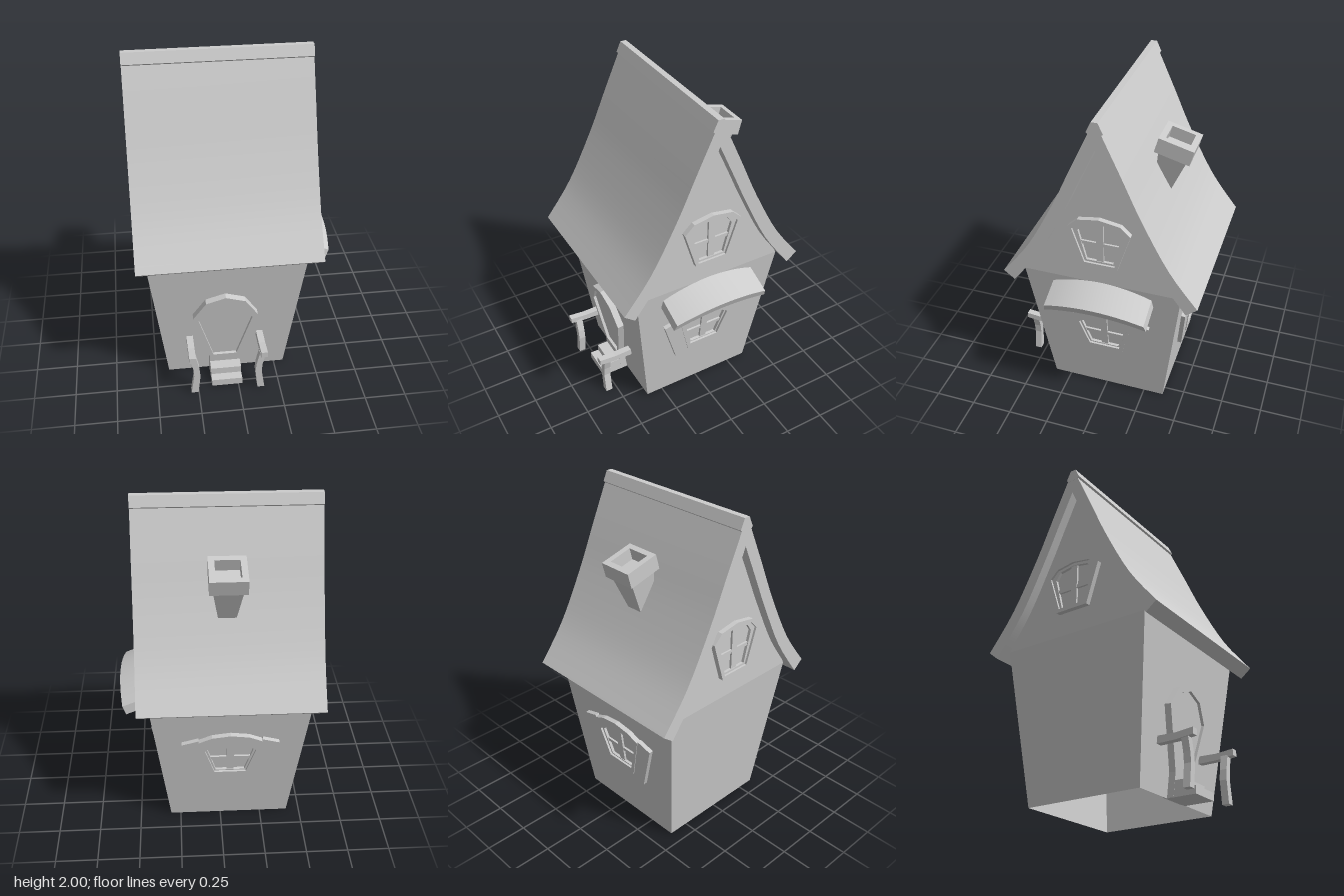
import * as THREE from 'three';
import { toCreasedNormals } from 'three/addons/utils/BufferGeometryUtils.js';

const flat = new THREE.MeshStandardMaterial({ color: 0xcccccc, flatShading: true });
const smooth = new THREE.MeshStandardMaterial({ color: 0xcccccc });
const thin = new THREE.MeshStandardMaterial({ color: 0xcccccc, flatShading: true, side: THREE.DoubleSide });

const BASE = 0.365, TOP = 0.476, EAVE = 0.92;   // half widths of the flared walls
const TILT = Math.atan((TOP - BASE) / EAVE);

function add(parent, name, geometry, material = flat) {
  const mesh = new THREE.Mesh(geometry, material);
  mesh.name = name;
  parent.add(mesh);
  return mesh;
}

function group(parent, name) {
  const g = new THREE.Group();
  g.name = name;
  parent.add(g);
  return g;
}

const shapeOf = pts => new THREE.Shape(pts.map(p => new THREE.Vector2(p[0], p[1])));

// Symmetrical outline from its right half, listed bottom to top
const mirrored = half => [...half, ...half.filter(p => p[0] !== 0).reverse().map(([x, y]) => [-x, y])];

// Extrude an outline from z0 to z1, with an optional hole
function slab(pts, z0, z1, hole) {
  const shape = shapeOf(pts);
  if (hole) shape.holes.push(shapeOf(hole));
  return new THREE.ExtrudeGeometry(shape, { depth: z1 - z0, bevelEnabled: false }).translate(0, 0, z0);
}

// Extrude a side profile across x; profile x becomes -z
const across = (pts, x0, x1) => slab(pts, x0, x1).rotateY(Math.PI / 2);

const box = (w, h, d, x, y, z) => new THREE.BoxGeometry(w, h, d).translate(x, y, z);

const curve = (pts, n) => new THREE.SplineCurve(pts.map(p => new THREE.Vector2(...p)))
  .getPoints(n).map(p => [p.x, p.y]);

// Local frame lying on one wall: x along it, y up its slope, z out of it
function wallFrame(parent, name, yaw, distance, tilt) {
  const g = group(parent, name);
  g.rotation.set(tilt, yaw, 0, 'YXZ');
  g.position.set(Math.sin(yaw) * distance, 0, Math.cos(yaw) * distance);
  return g;
}

function glazing(g, inner, sash, bar, bottom, top, halfWidth) {
  add(g, 'sash', slab(mirrored(inner), -0.01, 0.017, mirrored(sash)));
  add(g, 'verticalBar', box(0.042, top - bottom, 0.022, 0, (top + bottom) / 2, 0.002));
  add(g, 'crossBar', box(halfWidth * 2, 0.022, 0.02, 0, bar, 0.002));
}

function shutteredWindow(parent, name, yaw) {
  const g = wallFrame(parent, name, yaw, BASE, TILT);
  const inner = [[0.095, 0.4], [0.152, 0.58], [0.088, 0.642], [0, 0.662]];
  const sash = [[0.087, 0.407], [0.138, 0.577], [0.082, 0.63], [0, 0.65]];
  add(g, 'frame', slab(mirrored([[0.11, 0.36], [0.188, 0.65], [0.11, 0.685], [0, 0.7]]), -0.01, 0.03, mirrored(inner)));
  glazing(g, inner, sash, 0.502, 0.402, 0.655, 0.118);
  for (const s of [-1, 1]) {
    const pts = [[0.112, 0.363], [0.192, 0.322], [0.288, 0.633], [0.19, 0.662]].map(([x, y]) => [s * x, y]);
    add(g, 'shutter', slab(pts, -0.01, 0.026));
  }
}

function atticWindow(parent, yaw) {
  const g = wallFrame(parent, 'atticWindow', yaw, TOP, 0);
  const inner = [[0.09, 1.08], [0.16, 1.297], [0.113, 1.345], [0, 1.363]];
  const sash = [[0.08, 1.092], [0.128, 1.285], [0.098, 1.33], [0, 1.348]];
  add(g, 'frame', slab(mirrored([[0.106, 1.06], [0.183, 1.31], [0.125, 1.365], [0, 1.386]]), -0.01, 0.03, mirrored(inner)));
  glazing(g, inner, sash, 1.205, 1.085, 1.352, 0.122);
}

function buildRoof(house) {
  const outer = curve([[0.585, 0.923], [0.415, 1.15], [0.255, 1.45], [0.14, 1.705], [0.012, 1.985]], 16);
  const inner = curve([[0.52, 0.87], [0.34, 1.125], [0.188, 1.426], [0.1, 1.62], [0, 1.84]], 16);
  const left = pts => pts.map(([x, y]) => [-x, y]);
  const profile = [...outer, ...left(outer).reverse(), ...left(inner), ...inner.slice(0, -1).reverse()];
  add(house, 'roof', toCreasedNormals(across(profile, -0.532, 0.538), 0.4), smooth);
  add(house, 'ridgeCap', across(mirrored([[0.03, 1.925], [0.046, 1.94], [0.018, 2]]), -0.533, 0.539));
}

function buildChimney(house) {
  const g = group(house, 'chimney');
  g.position.set(0.014, 1.652, -0.31);
  g.rotation.x = -0.262;
  const square = r => [[-r, -r], [r, -r], [r, r], [-r, r]];
  add(g, 'chimneyCap', slab(square(0.106), -0.047, 0.047, square(0.071)).rotateX(-Math.PI / 2));
  add(g, 'chimneyFlue', box(0.15, 0.02, 0.15, 0, -0.036, 0));
  const stem = new THREE.CylinderGeometry(0.086 * Math.SQRT2, 0.042 * Math.SQRT2, 0.3, 4);
  add(g, 'chimneyStem', stem.rotateY(Math.PI / 4).translate(0, -0.19, 0));
}

function buildAwning(house) {
  // Arched plate, sloping down away from the wall
  const arc = (half, low, rise) => Array.from({ length: 13 }, (_, i) => {
    const t = 1 - i / 6;
    return [half * t, low + rise * (1 - t * t)];
  });
  const profile = [...arc(0.302, 0.054, 0.058), ...arc(0.312, 0, 0.058).reverse()];
  const g = toCreasedNormals(across(profile, -0.2, 0), 0.4);
  const awning = add(house, 'awning', g, smooth);
  awning.rotation.z = -0.38;
  awning.position.set(0.611, 0.75, 0);
}

function buildEntry(root) {
  const entry = group(root, 'entry');
  entry.position.set(-0.07, 0, 0);

  // Door leaning with the wall
  const door = wallFrame(entry, 'door', 0, BASE - 0.01, TILT);
  const panel = mirrored([[0.072, 0.155], [0.163, 0.467], [0.1, 0.58], [0, 0.617]]);
  add(door, 'doorFrame', slab(mirrored([[0.095, 0.006], [0.095, 0.14], [0.195, 0.488], [0.118, 0.606], [0, 0.645]]), -0.03, 0.04, panel));
  add(door, 'doorPanel', slab(panel, -0.03, 0.022));

  // Steps
  add(entry, 'lowerStep', box(0.188, 0.045, 0.18, 0, 0.0225, 0.44));
  add(entry, 'upperStep', box(0.188, 0.045, 0.125, 0, 0.0675, 0.4125));

  // Bent posts with sagging handrails
  for (const s of [-1, 1]) {
    const post = [[0.183, 0], [0.226, 0], [0.207, 0.13], [0.212, 0.19], [0.232, 0.275], [0.194, 0.275], [0.175, 0.19], [0.169, 0.13]];
    add(entry, 'railPost', slab(post.map(([x, y]) => [s * x, y]), 0.53, 0.572));
    const rail = [[-0.605, 0.305], [-0.605, 0.268], [-0.5, 0.257], [-0.385, 0.255], [-0.385, 0.298], [-0.5, 0.295]];
    add(entry, 'handrail', across(rail, -0.02, 0.02)).position.x = s * 0.216;
  }
}

export function createModel() {
  const root = new THREE.Group();
  root.name = 'cottage';
  const house = group(root, 'house');
  house.position.set(-0.055, 0, -0.01);

  // Flared walls, open underneath
  const walls = new THREE.CylinderGeometry(TOP * Math.SQRT2, BASE * Math.SQRT2, EAVE, 4, 1, true);
  add(house, 'walls', walls.rotateY(Math.PI / 4).translate(0, EAVE / 2, 0), thin);

  // Gables, with a window each
  const gable = shapeOf(mirrored([[TOP, EAVE], [0.36, 1.13], [0.2, 1.44], [0, 1.87]]));
  for (const s of [-1, 1]) {
    add(house, 'gable', new THREE.ShapeGeometry(gable).rotateY(s * Math.PI / 2).translate(s * TOP, 0, 0), thin);
    atticWindow(house, s * Math.PI / 2);
  }

  buildRoof(house);
  buildChimney(house);
  buildAwning(house);
  shutteredWindow(house, 'sideWindow', Math.PI / 2);
  shutteredWindow(house, 'backWindow', Math.PI);
  buildEntry(root);
  return root;
}
